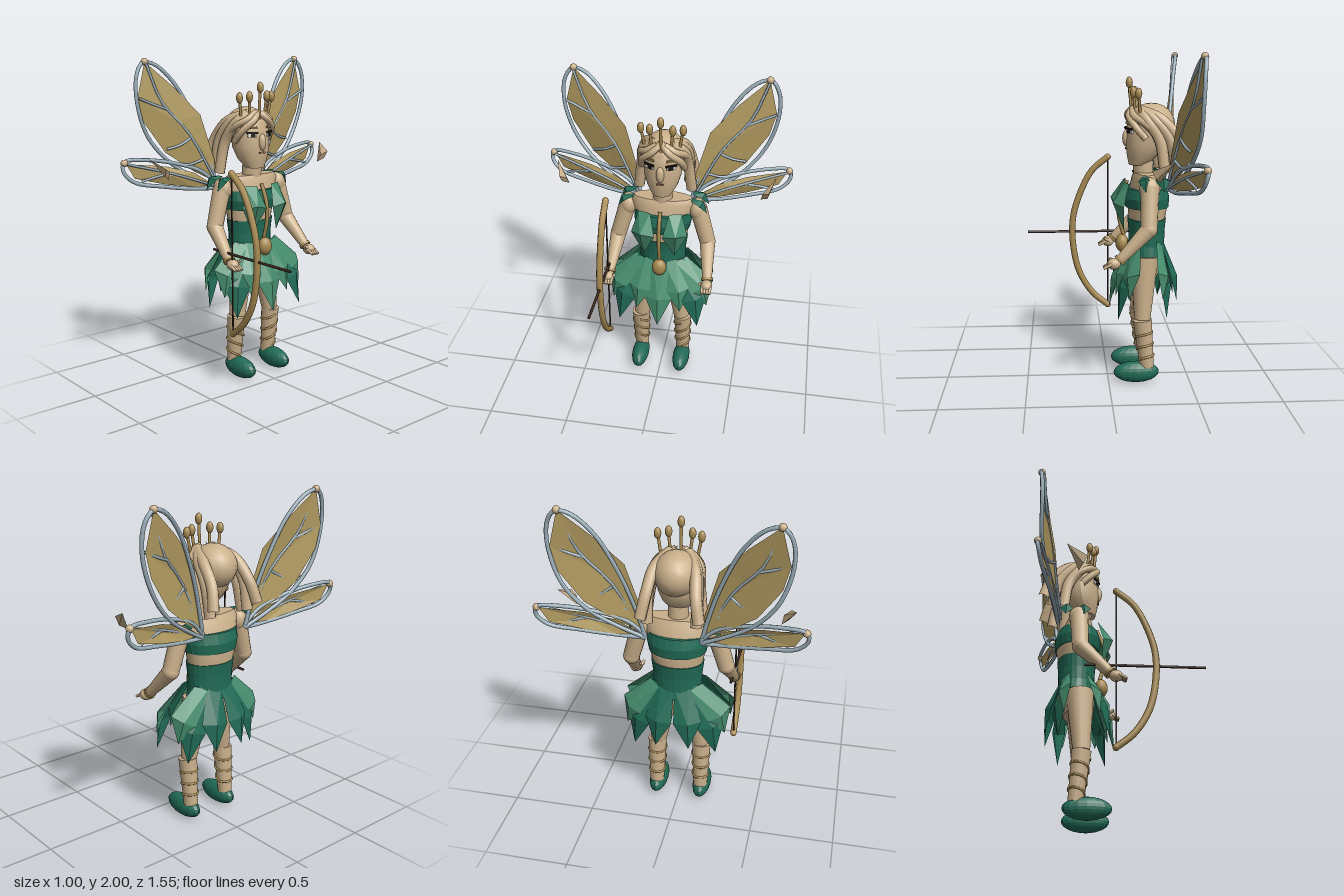
import * as THREE from 'three';
import { ConvexGeometry } from 'three/addons/geometries/ConvexGeometry.js';

const V = (x, y, z) => new THREE.Vector3(x, y, z);
const material = (name, color, opts = {}) => {
  const m = new THREE.MeshStandardMaterial({ color, ...opts });
  m.name = name;
  return m;
};

export function createModel() {
  const root = new THREE.Group();
  root.name = 'archerFairy';
  const folded = { side: THREE.DoubleSide, flatShading: true };
  const skin = material('skin', 0xcab08b);
  const green = material('darkGreen', 0x216b56, folded);
  const leafGreen = material('leafGreen', 0x468d6e, folded);
  const gold = material('gold', 0xa88b52);
  const membrane = material('wingMembrane', 0xb29b61, folded);
  const frame = material('wingFrame', 0x9bafba);
  const brown = material('darkBrown', 0x3a2820);
  const black = material('black', 0x17130f);
  const white = material('white', 0xe8e4dc);
  const lip = material('lip', 0x8a5a48);

  const add = (name, geo, mat) => {
    const m = new THREE.Mesh(geo, mat);
    m.name = name;
    root.add(m);
    return m;
  };
  const ball = (name, mat, p, rx, ry = rx, rz = rx) => {
    const m = add(name, new THREE.SphereGeometry(1, 16, 12), mat);
    m.position.copy(p);
    m.scale.set(rx, ry, rz);
    return m;
  };
  // Tapered cylinder from a (radius ra) to b (radius rb)
  const limb = (name, mat, a, b, ra, rb = ra) => {
    const d = b.clone().sub(a);
    const m = add(name, new THREE.CylinderGeometry(rb, ra, d.length(), 14), mat);
    m.position.copy(a).addScaledVector(d, 0.5);
    m.quaternion.setFromUnitVectors(V(0, 1, 0), d.normalize());
    return m;
  };
  const tube = (name, mat, pts, r, seg = 28) =>
    add(name, new THREE.TubeGeometry(new THREE.CatmullRomCurve3(pts), seg, r, 8), mat);
  // Elliptical rings, top to bottom: [y, centreX, radiusX, radiusZ]
  const loft = (name, mat, rows) => {
    const g = new THREE.CylinderGeometry(1, 1, 1, 24, rows.length - 1);
    const p = g.attributes.position;
    for (let i = 0; i < p.count; i++) {
      const [y, cx, rx, rz] = rows[Math.round((0.5 - p.getY(i)) * (rows.length - 1))];
      p.setXYZ(i, cx + p.getX(i) * rx, y, p.getZ(i) * rz);
    }
    g.computeVertexNormals();
    return add(name, g, mat);
  };
  const fan = (name, mat, centre, rim) => {
    const pts = [];
    rim.forEach((p, i) => pts.push(centre, p, rim[(i + 1) % rim.length]));
    const g = new THREE.BufferGeometry().setFromPoints(pts);
    g.computeVertexNormals();
    return add(name, g, mat);
  };
  // Creased leaf: base, widest point and tip, with a raised midrib
  const leaf = (name, mat, base, mid, tip, side, w, lift) => {
    const at = (p, k) => p.clone().addScaledVector(side, k);
    fan(name, mat, mid.clone().add(lift),
      [at(base, -w * 0.5), at(mid, -w), tip, at(mid, w), at(base, w * 0.5)]);
  };

  // Torso and dress
  loft('torso', skin, [[1.29, -0.23, 0.065, 0.18], [1.26, -0.23, 0.08, 0.205], [1.18, -0.24, 0.11, 0.18],
    [1.08, -0.245, 0.12, 0.165], [1, -0.24, 0.11, 0.148], [0.85, -0.24, 0.1, 0.135], [0.74, -0.235, 0.105, 0.14], [0.66, -0.225, 0.09, 0.13]]);
  loft('bandeau', green, [[1.2, -0.235, 0.125, 0.178], [1.14, -0.235, 0.142, 0.182], [1.08, -0.24, 0.132, 0.17]]);
  loft('bodice', green, [[1.01, -0.24, 0.118, 0.158], [0.93, -0.24, 0.11, 0.148], [0.85, -0.24, 0.11, 0.145], [0.79, -0.24, 0.115, 0.155]]);
  limb('neck', skin, V(-0.22, 1.25, 0), V(-0.21, 1.4, 0), 0.062, 0.06);

  // Skirt leaves in a front fan and a back fan, open at the hips
  const skirtLeaf = (mat, dir, z, y, out, w, deg) => {
    const a = deg * Math.sign(z) * Math.PI / 180;
    const n = V(Math.cos(a) * dir, 0, Math.sin(a));
    const base = V(-0.235 + dir * (0.11 - Math.abs(z) * 0.13), 0.87, z * 0.42);
    const tip = V(-0.225 + dir * out, y, z);
    const mid = base.clone().lerp(tip, 0.55).add(V(dir * 0.01, 0, z * 0.15));
    const side = n.clone().cross(tip.clone().sub(base)).normalize();
    leaf('skirtLeaf', mat, base, mid, tip, side, w, n.multiplyScalar(0.03));
  };
  skirtLeaf(leafGreen, 1, 0, 0.445, 0.215, 0.088, 0);
  for (const s of [1, -1]) {
    skirtLeaf(leafGreen, 1, s * 0.14, 0.55, 0.185, 0.08, 14);
    skirtLeaf(green, 1, s * 0.255, 0.44, 0.175, 0.085, 24);
    skirtLeaf(leafGreen, 1, s * 0.305, 0.57, 0.115, 0.085, 36);
    skirtLeaf(green, -1, s * 0.1, 0.5, 0.195, 0.085, 12);
    skirtLeaf(green, -1, s * 0.25, 0.44, 0.115, 0.085, 28);
    skirtLeaf(leafGreen, -1, s * 0.3, 0.57, 0.085, 0.08, 36);
  }

  // Head and face
  loft('head', skin, [[1.67, -0.25, 0.07, 0.07], [1.63, -0.245, 0.11, 0.105], [1.56, -0.235, 0.12, 0.12],
    [1.46, -0.225, 0.115, 0.115], [1.39, -0.21, 0.092, 0.093], [1.335, -0.185, 0.055, 0.06]]);
  ball('nose', skin, V(-0.115, 1.495, 0), 0.026, 0.052, 0.025);
  ball('hairCap', skin, V(-0.265, 1.575, 0), 0.143, 0.13, 0.13);
  const mouth = add('mouth', new THREE.BoxGeometry(0.008, 0.01, 0.045), lip);
  mouth.position.set(-0.112, 1.432, 0);

  // Pendant on its cord
  tube('pendantCord', gold, [V(-0.12, 1.24, 0), V(-0.075, 1.13, 0), V(-0.07, 1.02, 0), V(-0.1, 0.9, 0)], 0.012);
  ball('pendant', gold, V(-0.09, 0.85, 0), 0.04, 0.057, 0.046);

  // Crown
  for (const [x, y, z] of [[-0.13, 1.825, 0], [-0.15, 1.77, 0.068], [-0.15, 1.77, -0.068], [-0.175, 1.765, 0.125], [-0.175, 1.765, -0.125]]) {
    limb('crownStem', gold, V(x - 0.015, 1.62, z * 0.8), V(x, y, z), 0.009);
    ball('crownBud', gold, V(x, y, z), 0.021, 0.034, 0.021);
  }

  for (const s of [1, -1]) {
    const P = (x, y, z) => V(x, y, z * s);

    // Eyes
    const plate = (name, mat, x, y, z, h, w) => {
      const m = add(name, new THREE.BoxGeometry(0.009, h, w), mat);
      m.position.copy(P(x, y, z));
      m.rotation.y = -s * 0.5;
    };
    plate('eyeWhite', white, -0.128, 1.54, 0.065, 0.024, 0.058);
    plate('iris', black, -0.124, 1.54, 0.063, 0.024, 0.028);
    plate('upperLash', black, -0.124, 1.555, 0.067, 0.012, 0.07);
    plate('brow', gold, -0.129, 1.585, 0.065, 0.013, 0.06);

    // Fringe and long locks swept back from the forehead
    tube('fringe', skin, [P(-0.16, 1.68, 0), P(-0.125, 1.635, 0.05), P(-0.16, 1.57, 0.115), P(-0.22, 1.5, 0.13)], 0.021);
    tube('fringe', skin, [P(-0.15, 1.675, 0.02), P(-0.15, 1.635, 0.085), P(-0.2, 1.6, 0.13), P(-0.29, 1.53, 0.14)], 0.021);
    for (const [x, y, z] of [[-0.455, 1.37, 0.165], [-0.4, 1.32, 0.14], [-0.33, 1.3, 0.165]])
      tube('hairLock', skin, [P(-0.18, 1.665, 0.05), P(-0.22 + (x + 0.33) * 0.7, 1.615, 0.115),
        P(x * 0.9, 1.5, 0.14), P(x, y, z)], 0.034);

    // Detached ear
    add('earTip', new ConvexGeometry([P(-0.32, 1.43, 0.68), P(-0.2, 1.38, 0.643), P(-0.25, 1.31, 0.595),
      P(-0.225, 1.357, 0.603), P(-0.225, 1.333, 0.636)]), skin);

    // Arm, hand and bracelet
    ball('shoulder', skin, P(-0.235, 1.215, 0.215), 0.062, 0.07, 0.055);
    limb('upperArm', skin, P(-0.235, 1.22, 0.22), P(-0.225, 0.99, 0.285), 0.055, 0.05);
    ball('elbow', skin, P(-0.225, 0.99, 0.285), 0.051);
    limb('forearm', skin, P(-0.225, 0.99, 0.285), P(-0.05, 0.81, 0.31), 0.05, 0.029);
    limb('bracelet', gold, P(-0.062, 0.822, 0.308), P(-0.05, 0.81, 0.31), 0.037);
    ball('palm', skin, P(-0.02, 0.795, 0.31), 0.04, 0.034, 0.036);
    for (let i = 0; i < 4; i++)
      limb('finger', skin, P(-0.01, 0.8, 0.285 + i * 0.017), P(0.04, 0.772, 0.287 + i * 0.016), 0.01, 0.008);
    limb('thumb', skin, P(-0.03, 0.8, 0.285), P(0.005, 0.82, 0.27), 0.011, 0.009);

    // Shoulder leaves and chest leaf
    for (const x of [-0.3, -0.215])
      leaf('shoulderLeaf', green, P(x, 1.285, 0.18), P(x + (x + 0.25) * 0.2, 1.265, 0.235),
        P(x + (x + 0.25) * 0.3, 1.205, 0.278), V(1, 0, 0), 0.042, P(0, 0.02, 0.02));
    leaf('chestLeaf', leafGreen, P(-0.11, 1.235, 0.095), P(-0.065, 1.1, 0.1), P(-0.095, 0.945, 0.095),
      V(-0.3 * s, 0, 1), 0.075, P(0.04, 0.02, 0.01));

    // Leg, spiral lacing and shoe
    limb('thigh', skin, P(-0.205, 0.4, 0.132), P(-0.22, 0.78, 0.085), 0.05, 0.085);
    limb('shin', skin, P(-0.235, 0.1, 0.14), P(-0.205, 0.4, 0.14), 0.044, 0.058);
    const lace = [];
    for (let i = 0; i <= 40; i++) {
      const t = i / 40, a = t * Math.PI * 6, r = 0.047 + t * 0.008;
      lace.push(P(-0.231 + t * 0.023 + Math.cos(a) * r, 0.14 + t * 0.22 + Math.sin(a) * 0.014, 0.14 + Math.sin(a) * r));
    }
    tube('legLacing', gold, lace, 0.007, 110);
    ball('shoe', green, P(-0.17, 0.067, 0.14), 0.14, 0.066, 0.056);

    // Wings: closed frame, faceted membrane and veins, points as [z, y]
    const wing = (name, span, power, rim, film, veins, tip, centre) => {
      const W = ([z, y], dx = 0) => {
        const t = THREE.MathUtils.clamp((z - 0.18) / span, 0, 1);
        return P(-0.36 - 0.12 * t ** power + dx, y, z);
      };
      tube(name + 'Frame', frame, rim.map((p, i) => W(p, Math.sin(i / (rim.length - 1) * Math.PI * 2) * -0.014)), 0.012, 60);
      fan(name + 'Membrane', membrane, W(centre, 0.02), film.map((p) => W(p)));
      veins.forEach((v) => tube(name + 'Vein', frame, v.map((p) => W(p, 0.016)), 0.008, 10));
      ball(name + 'Bead', skin, W(tip), 0.022);
    };
    wing('upperWing', 0.41, 0.85,
      [[0.16, 1.2], [0.2, 1.36], [0.28, 1.6], [0.4, 1.84], [0.52, 1.96], [0.6, 1.975], [0.65, 1.9], [0.655, 1.74], [0.59, 1.54], [0.46, 1.38], [0.31, 1.28], [0.16, 1.2]],
      [[0.17, 1.24], [0.18, 1.38], [0.26, 1.66], [0.42, 1.83], [0.59, 1.98], [0.645, 1.77], [0.61, 1.63], [0.48, 1.44], [0.3, 1.31]],
      [[[0.18, 1.24], [0.34, 1.55], [0.5, 1.74], [0.59, 1.97]], [[0.47, 1.7], [0.55, 1.73], [0.645, 1.77]],
        [[0.33, 1.52], [0.4, 1.48], [0.48, 1.46]], [[0.25, 1.39], [0.34, 1.36], [0.42, 1.37]]],
      [0.59, 1.98], [0.42, 1.63]);
    wing('lowerWing', 0.57, 1.1,
      [[0.16, 1.22], [0.26, 1.31], [0.42, 1.37], [0.62, 1.405], [0.75, 1.4], [0.76, 1.345], [0.7, 1.28], [0.52, 1.24], [0.32, 1.21], [0.16, 1.2]],
      [[0.18, 1.22], [0.32, 1.31], [0.5, 1.36], [0.74, 1.39], [0.69, 1.3], [0.5, 1.25], [0.32, 1.22]],
      [[[0.18, 1.215], [0.45, 1.31], [0.74, 1.39]], [[0.48, 1.32], [0.58, 1.3], [0.66, 1.28]]],
      [0.75, 1.395], [0.47, 1.3]);
  }

  // Bow, string and arrow in the left hand
  const bowZ = 0.313;
  tube('bow', gold, [[-0.02, 1.345], [0.08, 1.26], [0.155, 1.12], [0.205, 0.95], [0.205, 0.77], [0.165, 0.59], [0.08, 0.45], [-0.02, 0.365]]
    .map(([x, y]) => V(x, y, bowZ)), 0.02, 48);
  for (const y of [1.345, 0.365]) ball('bowEnd', gold, V(-0.02, y, bowZ), 0.02);
  limb('bowString', brown, V(-0.02, 0.36, bowZ), V(-0.02, 1.345, bowZ), 0.005);
  limb('arrow', brown, V(-0.2, 0.86, bowZ), V(0.497, 0.86, bowZ), 0.008);

  return root;
}
